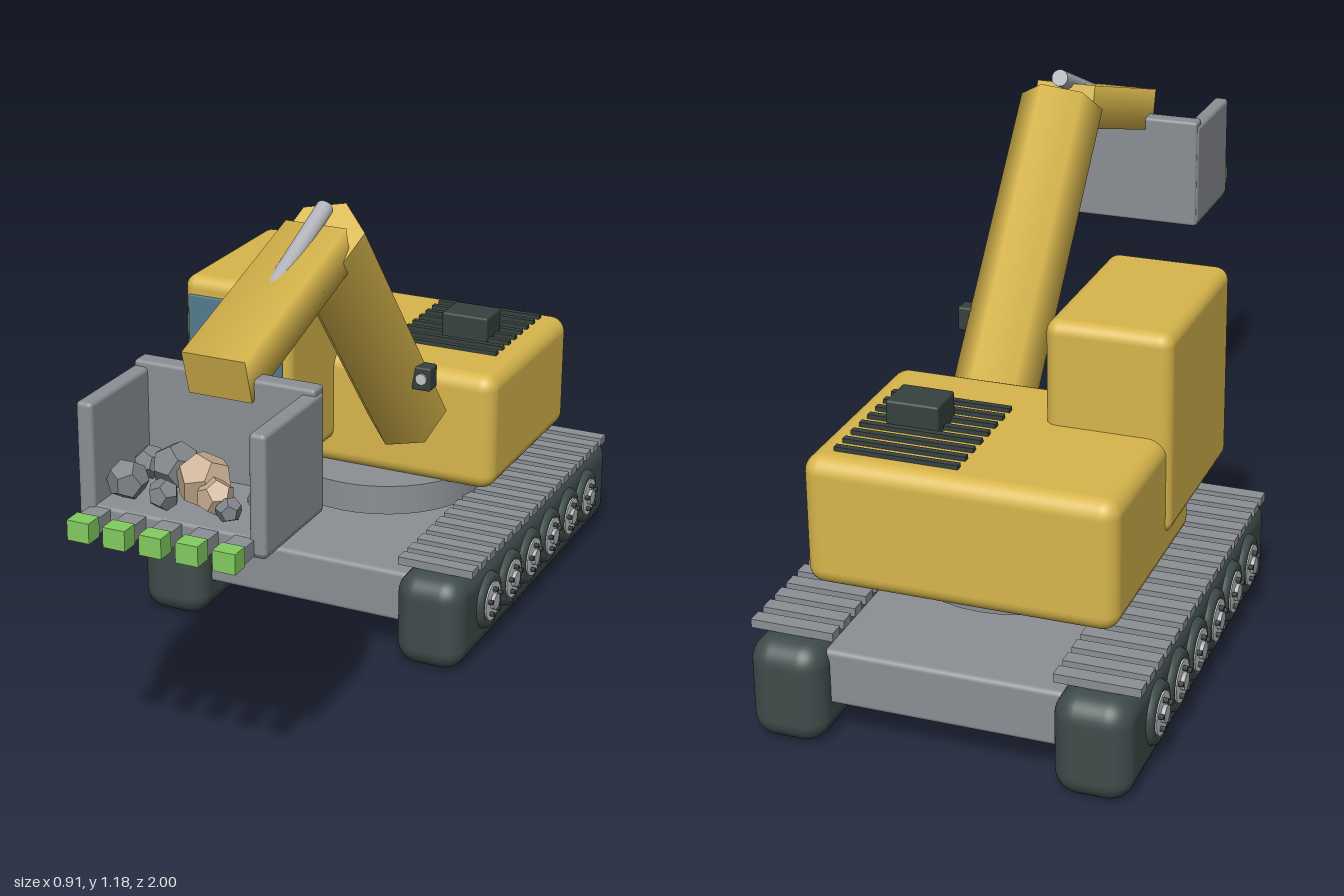
import * as THREE from 'three';
import { RoundedBoxGeometry } from 'three/addons/geometries/RoundedBoxGeometry.js';

const mat = (name, color) => {
  const m = new THREE.MeshStandardMaterial({ color });
  m.name = name;
  return m;
};

export function createModel() {
  const root = new THREE.Group();
  root.name = 'excavator';
  const yellow = mat('yellow paint', 0xd8b64c);
  const rubber = mat('track rubber', 0x3f4c4b);
  const grey = mat('grey steel', 0x8b8f94);
  const steel = mat('bright steel', 0xb0b4ba);
  const hubMat = mat('hub metal', 0xc6c9c9);
  const glass = mat('blue glass', 0x527d90);
  const dark = mat('dark trim', 0x36413f);
  const green = mat('green teeth', 0x82cc60);
  const stone = mat('grey stone', 0x808389);
  const tan = mat('tan stone', 0xc8ae92);

  const add = (name, geo, material, x, y, z, parent = root) => {
    const m = new THREE.Mesh(geo, material);
    m.name = name;
    m.position.set(x, y, z);
    parent.add(m);
    return m;
  };
  // Box given by its min and max on each axis; r > 0 rounds the edges
  const box = (name, material, [x0, x1], [y0, y1], [z0, z1], r = 0, parent = root) => {
    const s = [x1 - x0, y1 - y0, z1 - z0];
    const geo = r ? new RoundedBoxGeometry(...s, 4, r) : new THREE.BoxGeometry(...s);
    return add(name, geo, material, (x0 + x1) / 2, (y0 + y1) / 2, (z0 + z1) / 2, parent);
  };
  // Prism or cylinder between two [y, z] points in the plane x
  const beam = (name, material, x, [y0, z0], [y1, z1], r, sides, start = 0, flat = 1) => {
    const geo = new THREE.CylinderGeometry(r, r, Math.hypot(y1 - y0, z1 - z0), sides, 1, false, start);
    geo.scale(1, 1, flat);
    const m = add(name, geo, material, x, (y0 + y1) / 2, (z0 + z1) / 2);
    m.rotation.x = Math.atan2(z1 - z0, y1 - y0);
    return m;
  };

  // Undercarriage
  box('chassis', grey, [-0.27, 0.27], [0.085, 0.215], [-0.94, 0.0], 0.012);
  add('turntable', new THREE.CylinderGeometry(0.26, 0.26, 0.075, 40), grey, 0, 0.282, -0.47);

  // Tracks with shoes and road wheels
  const disc = (r, w, n = 24) => new THREE.CylinderGeometry(r, r, w, n).rotateZ(Math.PI / 2);
  for (const side of [-1, 1]) {
    const track = new THREE.Group();
    track.name = side > 0 ? 'leftTrack' : 'rightTrack';
    root.add(track);
    add('trackBelt', new RoundedBoxGeometry(0.172, 0.236, 1.06, 6, 0.055), rubber, side * 0.341, 0.118, -0.47, track);
    for (let i = 0; i < 17; i++) {
      add('trackShoe', new THREE.BoxGeometry(0.19, 0.02, 0.036), grey, side * 0.341, 0.247, -0.92 + i * 0.0565, track);
    }
    for (let i = 0; i < 6; i++) {
      const z = -0.123 - i * 0.1372;
      const y = 0.128;
      const tyre = new THREE.TorusGeometry(0.055, 0.017, 8, 28).rotateY(Math.PI / 2);
      add('wheelTyre', tyre, rubber, side * 0.425, y, z, track);
      add('wheelHub', disc(0.048, 0.2), hubMat, side * 0.343, y, z, track);
      add('wheelCap', disc(0.02, 0.01, 16), steel, side * 0.447, y, z, track);
      for (let b = 0; b < 5; b++) {
        const a = (b / 5) * Math.PI * 2;
        add('wheelBolt', disc(0.006, 0.012, 6), dark, side * 0.448, y + 0.032 * Math.cos(a), z + 0.032 * Math.sin(a), track);
      }
    }
  }

  // Upper body, cab and windscreen
  box('engineHouse', yellow, [-0.35, 0.35], [0.31, 0.61], [-0.85, -0.32], 0.04);
  box('cab', yellow, [-0.36, -0.075], [0.378, 0.848], [-0.522, -0.07], 0.03);
  box('windscreen', glass, [-0.342, -0.092], [0.505, 0.805], [-0.0705, -0.062], 0.003);

  // Vent grille and exhaust box on the roof
  for (let i = 0; i < 8; i++) {
    const z = -0.787 + i * 0.0428;
    box('ventSlat', dark, [0.013, 0.293], [0.605, 0.62], [z - 0.008, z + 0.008]);
  }
  box('exhaustBox', dark, [0.115, 0.237], [0.6, 0.674], [-0.652, -0.556], 0.006);

  // Boom, arm and hydraulics
  const cx = 0.145;
  beam('boom', yellow, cx, [0.505, -0.276], [1.095, 0.216], 0.098, 6, Math.PI / 4);
  beam('arm', yellow, cx, [1.083, 0.23], [0.937, 0.71], 0.1025, 4, Math.PI / 4, 0.71);
  beam('boomFoot', steel, cx, [0.455, -0.318], [0.6, -0.197], 0.037, 20);
  beam('armRam', steel, cx, [1.157, 0.2], [1.02, 0.52], 0.02, 16);

  // Work lamp on the boom
  box('workLamp', dark, [0.222, 0.27], [0.637, 0.695], [-0.158, -0.115], 0.005);
  beam('lampLens', hubMat, 0.248, [0.667, -0.117], [0.667, -0.11], 0.014, 16);

  // Bucket, open at the top and front
  const bucket = new THREE.Group();
  bucket.name = 'bucket';
  root.add(bucket);
  box('bucketFloor', grey, [-0.065, 0.355], [0.655, 0.7], [0.645, 0.91], 0.008, bucket);
  box('bucketBack', grey, [-0.063, 0.353], [0.656, 0.935], [0.64, 0.685], 0.008, bucket);
  box('bucketRightWall', grey, [-0.067, -0.03], [0.66, 0.922], [0.645, 0.915], 0.01, bucket);
  box('bucketLeftWall', grey, [0.32, 0.357], [0.66, 0.922], [0.645, 0.915], 0.01, bucket);
  for (let i = -2; i <= 2; i++) {
    const x = cx + i * 0.082;
    box('toothShank', grey, [x - 0.023, x + 0.023], [0.662, 0.697], [0.9, 0.96], 0, bucket);
    box('toothTip', green, [x - 0.025, x + 0.025], [0.658, 0.702], [0.958, 1.0], 0, bucket);
  }

  // Rubble load: material, x, y, z, radius
  const rocks = [
    [stone, 0.012, 0.742, 0.85, 0.044], [stone, 0.08, 0.755, 0.77, 0.052],
    [stone, 0.0, 0.735, 0.735, 0.036], [tan, 0.16, 0.75, 0.8, 0.06],
    [tan, 0.208, 0.738, 0.84, 0.04], [stone, 0.245, 0.722, 0.855, 0.028],
    [stone, 0.292, 0.728, 0.795, 0.034], [stone, 0.1, 0.73, 0.86, 0.034],
  ];
  rocks.forEach(([m, x, y, z, r], i) => {
    const geo = new THREE.DodecahedronGeometry(r, 0);
    const rock = add('rock', geo, m, x, y, z, bucket);
    rock.rotation.set(i * 1.3, i * 2.1, i * 0.7);
  });

  return root;
}
